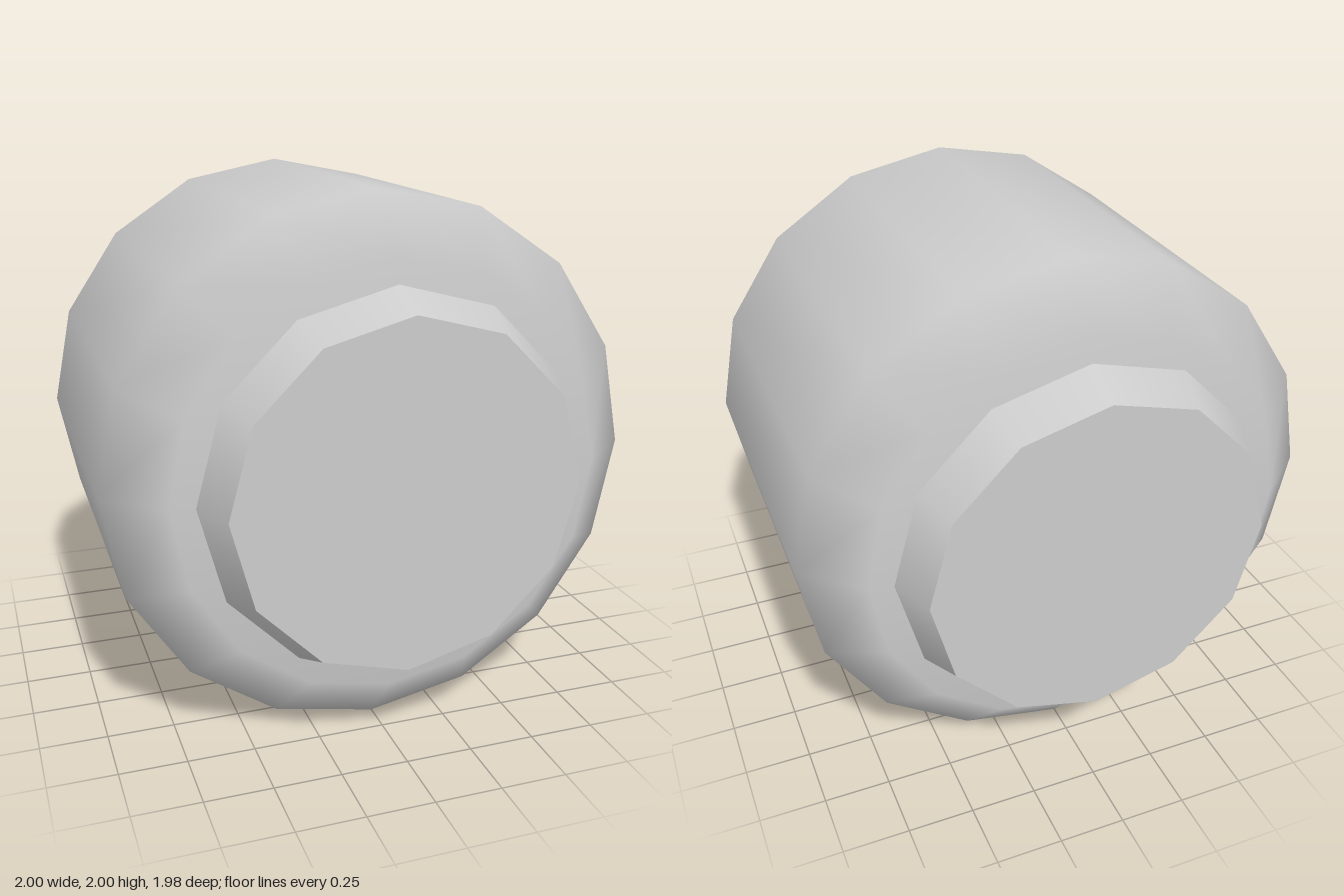
import * as THREE from 'three';

export function createModel() {
  const model = new THREE.Group();
  model.name = 'barrel';
  const material = new THREE.MeshStandardMaterial({ color: 0xcccccc });

  // Smooth 16-sided body with chamfered, closed ends, lying along z
  const profile = [
    [0, -0.81], [0.79, -0.81], [1, -0.635], [1, 0.635], [0.79, 0.81], [0, 0.81],
  ].map(([r, z]) => new THREE.Vector2(r, z));
  const body = new THREE.Mesh(new THREE.LatheGeometry(profile, 16).rotateX(Math.PI / 2), material);
  body.name = 'body';
  body.position.y = 1;
  model.add(body);

  // Tapered 12-sided end plates, floating just off each end
  for (const side of [1, -1]) {
    const geometry = new THREE.CylinderGeometry(0.635, 0.705, 0.16, 12).rotateX(side * Math.PI / 2);
    const plate = new THREE.Mesh(geometry, material);
    plate.name = side > 0 ? 'frontPlate' : 'backPlate';
    plate.position.set(0, 1, side * 0.91);
    model.add(plate);
  }

  return model;
}
